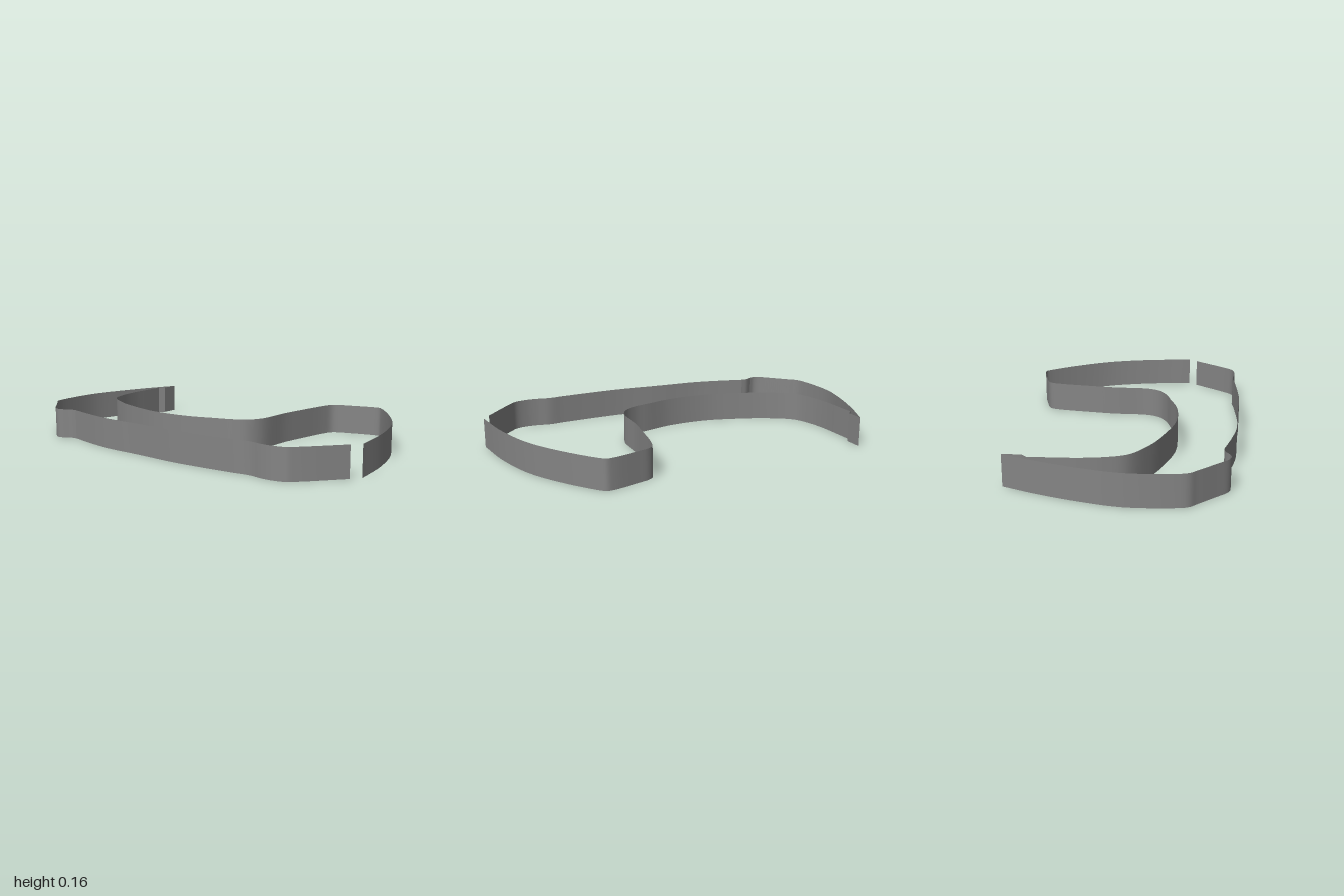
import * as THREE from 'three';

const HEIGHT = 0.157;
const material = new THREE.MeshStandardMaterial({ color: 0x848484, side: THREE.DoubleSide });

// Upright thin band swept along a smooth plan curve given as [x, z] points
function band(name, points) {
  const curve = new THREE.CatmullRomCurve3(points.map(([x, z]) => new THREE.Vector3(x, 0, z)));
  const steps = points.length > 2 ? (points.length - 1) * 8 : 1;
  const positions = [], index = [];
  for (let i = 0; i <= steps; i++) {
    const p = curve.getPoint(i / steps);
    positions.push(p.x, 0, p.z, p.x, HEIGHT, p.z);
    if (i < steps) {
      const a = i * 2;
      index.push(a, a + 2, a + 1, a + 1, a + 2, a + 3);
    }
  }
  const geometry = new THREE.BufferGeometry();
  geometry.setAttribute('position', new THREE.Float32BufferAttribute(positions, 3));
  geometry.setIndex(index);
  geometry.computeVertexNormals();
  const mesh = new THREE.Mesh(geometry, material);
  mesh.name = name;
  return mesh;
}

// Wall sections in order round the outline; each joint is a sharp corner
const sections = {
  backWall: [[0.365, -0.91], [0.18, -0.956], [-0.03, -0.99], [-0.22, -1], [-0.45, -0.952],
    [-0.495, -0.93], [-0.525, -0.89], [-0.59, -0.8], [-0.635, -0.735], [-0.643, -0.7], [-0.632, -0.67]],
  cornerNotch: [[-0.632, -0.67], [-0.605, -0.635], [-0.597, -0.6]],
  rightSide: [[-0.597, -0.6], [-0.612, -0.45], [-0.617, -0.3], [-0.592, -0.05], [-0.57, 0.2],
    [-0.507, 0.52], [-0.484, 0.615], [-0.485, 0.69], [-0.478, 0.745], [-0.454, 0.805],
    [-0.41, 0.842], [-0.21, 0.97]],
  leftSide: [[-0.16, 1], [0.08, 0.93], [0.315, 0.82], [0.5, 0.67], [0.63, 0.53],
    [0.643, 0.505], [0.635, 0.465], [0.583, 0.345], [0.553, 0.285], [0.528, 0.262], [0.47, 0.252],
    [0.29, 0.25], [0.15, 0.253], [-0.04, 0.274], [-0.115, 0.248], [-0.17, 0.185],
    [-0.212, 0.095], [-0.268, -0.03], [-0.3, -0.16], [-0.312, -0.3], [-0.295, -0.46],
    [-0.258, -0.63], [-0.187, -0.78], [-0.09, -0.838], [0.02, -0.874], [0.13, -0.896],
    [0.242, -0.917]],
  tipStep: [[0.242, -0.917], [0.273, -0.894]],
  tip: [[0.273, -0.894], [0.365, -0.91]],
};

export function createModel() {
  const group = new THREE.Group();
  group.name = 'outlineBand';
  for (const [name, points] of Object.entries(sections)) group.add(band(name, points));
  return group;
}
